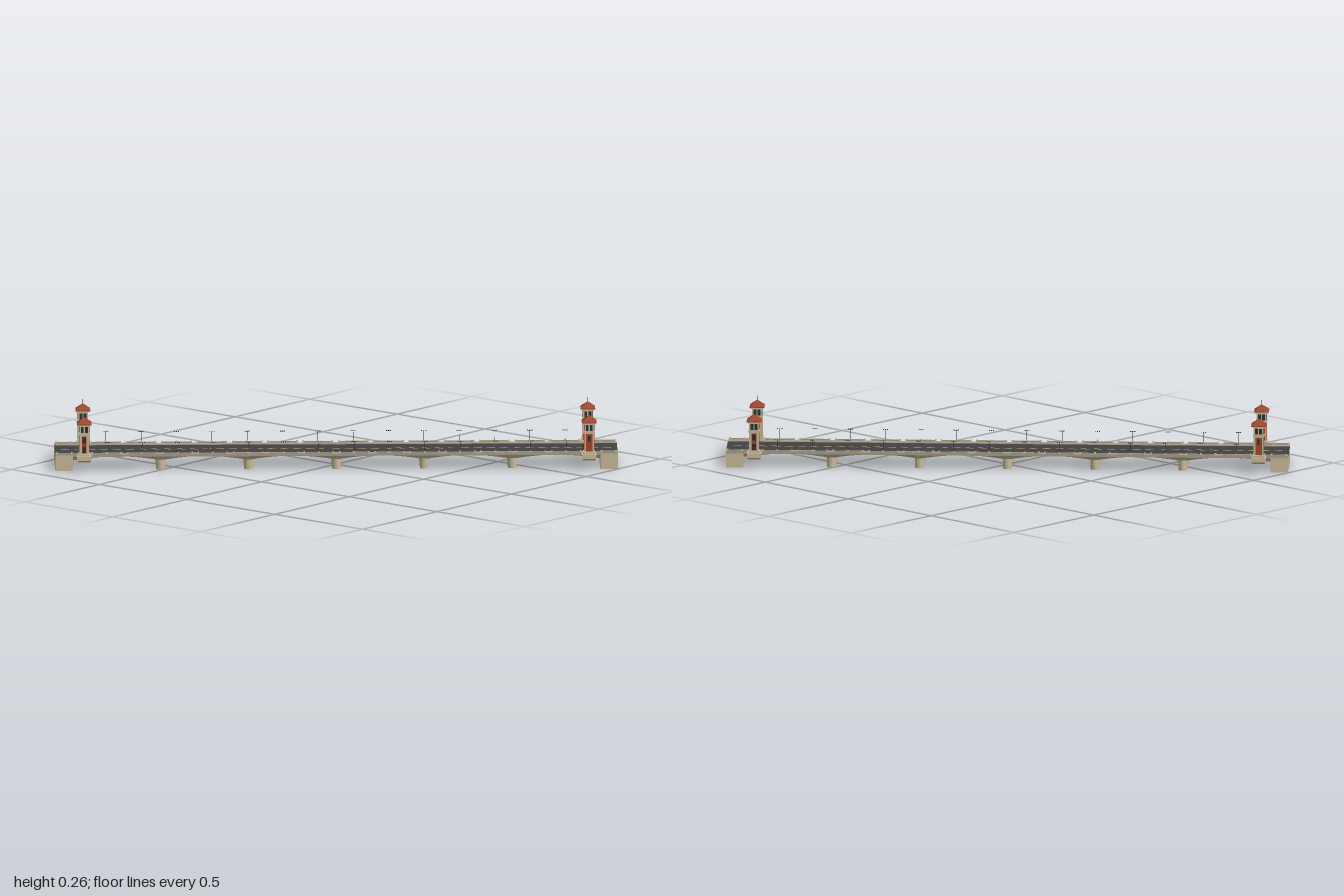
import * as THREE from 'three';

const mat = (name, color) => {
  const m = new THREE.MeshStandardMaterial({ color });
  m.name = name;
  return m;
};
const stone = mat('pale stone', 0xc9bb98);
const paving = mat('pavement', 0xa89e8b);
const soffit = mat('concrete soffit', 0x9a9384);
const spandrel = mat('shadowed concrete', 0x7d7668);
const asphalt = mat('asphalt', 0x414141);
const paint = mat('lane paint', 0xbdae7a);
const iron = mat('dark iron', 0x2b302e);
const tile = mat('roof tile', 0x9e4932);
const brick = mat('red brick', 0xa8452e);

const HALF = 1.222, WIDTH = 0.245, SPAN = 0.382, ROAD_Y = 0.07;

function add(parent, name, geometry, material, x = 0, y = 0, z = 0) {
  const m = new THREE.Mesh(geometry, material);
  m.name = name;
  m.position.set(x, y, z);
  parent.add(m);
  return m;
}
// Box placed by the height of its underside
const box = (parent, name, material, w, h, d, x, y, z) =>
  add(parent, name, new THREE.BoxGeometry(w, h, d), material, x, y + h / 2, z);

// Square frustum aligned with the axes
function frustum(parent, name, material, top, bottom, h, y) {
  const g = new THREE.CylinderGeometry(top * Math.SQRT1_2, bottom * Math.SQRT1_2, h, 4).toNonIndexed();
  g.rotateY(Math.PI / 4);
  g.computeVertexNormals();
  return add(parent, name, g, material, 0, y + h / 2, 0);
}

function makeTower() {
  const t = new THREE.Group();
  t.name = 'tower';
  frustum(t, 'corbel', stone, 0.062, 0.05, 0.008, 0.048);
  box(t, 'plinth', stone, 0.062, 0.018, 0.062, 0, 0.056, 0);
  box(t, 'plinthStep', stone, 0.052, 0.01, 0.052, 0, 0.074, 0);
  box(t, 'shaft', stone, 0.042, 0.132, 0.042, 0, 0.084, 0);
  box(t, 'upperBand', stone, 0.05, 0.006, 0.05, 0, 0.168, 0);
  box(t, 'cornice', stone, 0.054, 0.006, 0.054, 0, 0.208, 0);
  // Panels and windows; the front face is mostly brick
  for (let i = 0; i < 4; i++) {
    const face = new THREE.Group();
    face.name = 'towerFace';
    face.rotation.y = i * Math.PI / 2;
    if (i === 0) {
      box(face, 'brickPanel', brick, 0.028, 0.076, 0.002, 0, 0.088, 0.0215);
      box(face, 'window', iron, 0.01, 0.024, 0.003, 0, 0.132, 0.0218);
    } else {
      box(face, 'brickPanel', brick, 0.02, 0.074, 0.002, 0, 0.088, 0.0215);
      for (const y of [0.09, 0.132]) box(face, 'window', iron, 0.016, 0.026, 0.003, 0, y, 0.0218);
    }
    for (const s of [-1, 1]) box(face, 'belfryOpening', iron, 0.012, 0.026, 0.002, s * 0.009, 0.178, 0.0215);
    t.add(face);
  }
  // Roof with finial
  box(t, 'eaves', tile, 0.064, 0.004, 0.064, 0, 0.214, 0);
  frustum(t, 'roof', tile, 0.004, 0.064, 0.025, 0.218);
  add(t, 'finial', new THREE.CylinderGeometry(0.001, 0.0016, 0.022, 6), iron, 0, 0.252, 0);
  return t;
}

function makeLamp() {
  const l = new THREE.Group();
  l.name = 'streetLamp';
  add(l, 'pole', new THREE.CylinderGeometry(0.0006, 0.001, 0.053, 6), iron, 0, 0.0985, 0);
  box(l, 'crossArm', iron, 0.018, 0.001, 0.001, 0, 0.123, 0);
  for (const s of [-1, 0, 1]) box(l, 'lampHead', iron, 0.004, 0.003, 0.004, s * 0.009, 0.1225, 0);
  return l;
}

// Rounded-ended plan extruded upwards
function pierGeometry(length, thick, h) {
  const r = thick / 2, a = length / 2 - r;
  const s = new THREE.Shape();
  s.moveTo(r, -a);
  s.lineTo(r, a);
  s.absarc(0, a, r, 0, Math.PI, false);
  s.lineTo(-r, -a);
  s.absarc(0, -a, r, Math.PI, Math.PI * 2, false);
  const g = new THREE.ExtrudeGeometry(s, { depth: h, bevelEnabled: false, curveSegments: 8 });
  return g.rotateX(-Math.PI / 2);
}

export function createModel() {
  const model = new THREE.Group();
  model.name = 'bridge';
  const bridge = new THREE.Group();
  bridge.name = 'bridgeBody';
  bridge.rotation.y = 0.724;
  model.add(bridge);

  // Shallow arches along all six spans
  const inner = SPAN * 3;
  const arch = new THREE.Shape();
  arch.moveTo(-inner, 0.064);
  for (let i = 0; i < 6; i++) {
    const a = -inner + i * SPAN;
    arch.lineTo(a, 0.046);
    arch.lineTo(a + 0.016, 0.046);
    arch.quadraticCurveTo(a + SPAN / 2, 0.076, a + SPAN - 0.016, 0.046);
  }
  arch.lineTo(inner, 0.046);
  arch.lineTo(inner, 0.064);
  add(bridge, 'archedGirders', new THREE.ExtrudeGeometry(arch, { depth: 0.22, bevelEnabled: false, curveSegments: 14 }),
    [spandrel, soffit], 0, 0, -0.11);

  // Piers
  for (let i = -2; i <= 2; i++) add(bridge, 'pier', pierGeometry(0.205, 0.038, 0.048), stone, i * SPAN, 0, 0);

  // Abutments, one at each end
  for (const s of [-1, 1]) box(bridge, 'abutment', stone, 0.076, 0.068, WIDTH, s * (HALF - 0.038), 0, 0);

  // Roadway with staggered centre dashes
  box(bridge, 'road', asphalt, HALF * 2, 0.008, 0.18, 0, ROAD_Y - 0.008, 0);
  for (let i = -21; i <= 21; i++) {
    for (const s of [-1, 1]) box(bridge, 'laneDash', paint, 0.02, 0.001, 0.005, i * 0.056 + s * 0.008, ROAD_Y, s * 0.003);
  }

  // Pavements, parapets and lamps on both sides
  for (const s of [-1, 1]) {
    box(bridge, 'pavement', paving, HALF * 2, 0.011, 0.0325, 0, 0.062, s * 0.10625);
    for (let i = 0; i < 16; i++) {
      const x = (i - 7.5) * 0.1535;
      box(bridge, 'parapet', paving, 0.132, 0.006, 0.005, x, 0.073, s * 0.1195);
      // Parapet posts
      for (const p of [-0.063, 0, 0.063]) box(bridge, 'parapetPost', stone, 0.007, 0.009, 0.006, x + p, 0.073, s * 0.1195);
      if (i > 0 && i < 15) {
        const lamp = makeLamp();
        lamp.position.set(x, 0, s * 0.118);
        bridge.add(lamp);
      }
    }
    // Towers; the far pair is turned about
    for (const e of [-1, 1]) {
      const tower = makeTower();
      tower.position.set(e * 1.097, 0, s * 0.149);
      tower.rotation.y = e > 0 ? 0 : Math.PI;
      bridge.add(tower);
    }
  }
  return model;
}
